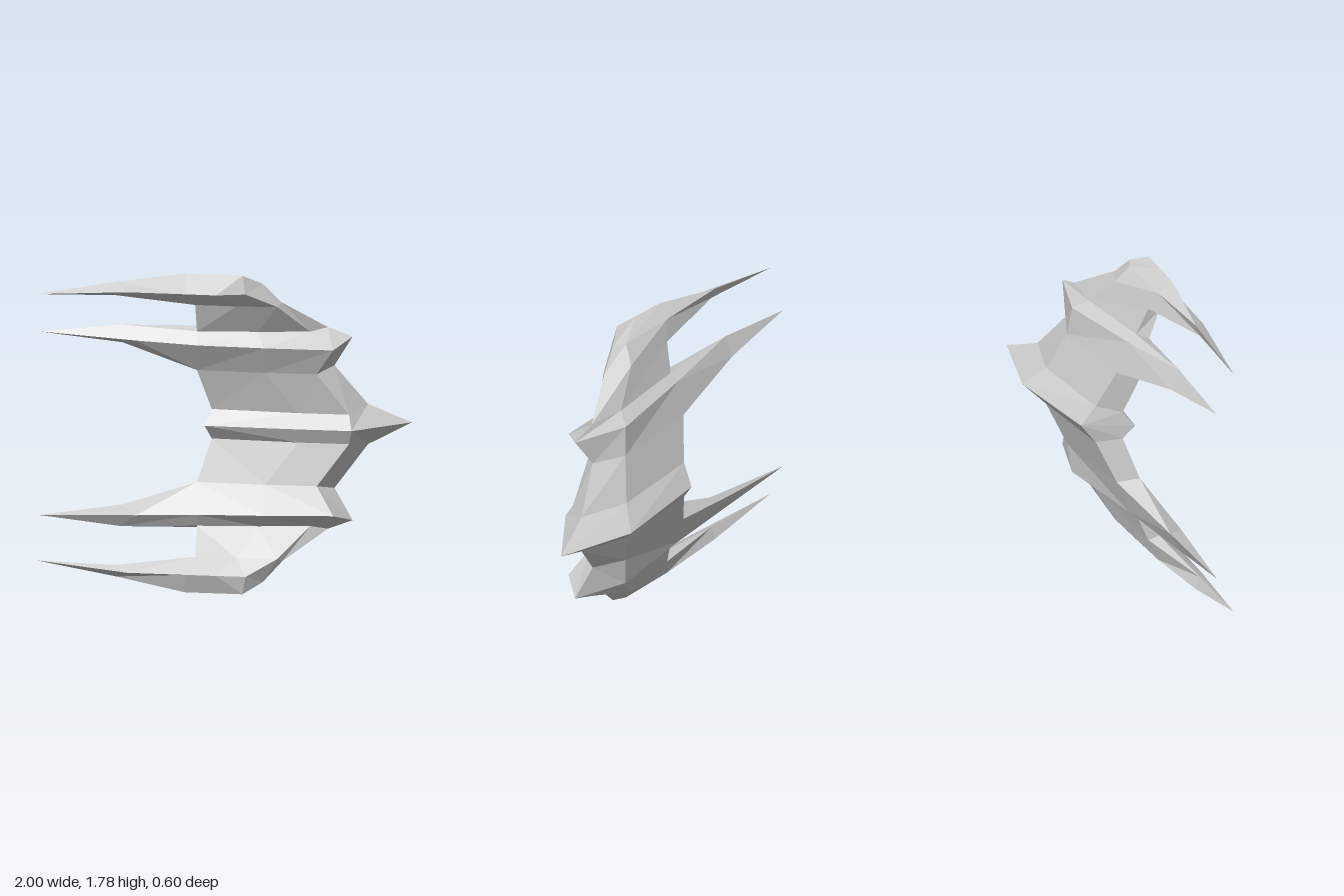
import * as THREE from 'three';

const HEIGHT = 1.776;
const MID = HEIGHT / 2;

// Sections of the upper half, from the middle outwards. Each ring runs:
// trailing front, mid front, leading front, leading edge, back ridge, trailing back.
const SECTIONS = [
  [[-0.10, MID, 0.07], [0.41, MID, 0.075], [0.71, MID, 0.07], [1.00, MID, -0.20], [0.57, MID, -0.30], [0.02, MID, -0.20]],
  [[-0.07, 0.97, 0.01], [0.41, 0.97, 0.035], [0.69, 0.97, 0.03], [0.77, 1.00, -0.12], [0.50, 1.00, -0.19], [0.00, 1.00, -0.12]],
  [[-0.14, 1.20, 0.08], [0.24, 1.20, 0.09], [0.52, 1.20, 0.08], [0.60, 1.23, -0.03], [0.42, 1.23, -0.10], [-0.08, 1.23, -0.03]],
  [[-0.12, 1.36, 0.18], [0.24, 1.355, 0.17], [0.62, 1.35, 0.14], [0.705, 1.40, 0.00], [0.40, 1.40, -0.08], [-0.10, 1.415, 0.03]],
  [[-0.13, 1.43, 0.14], [0.20, 1.43, 0.10], [0.48, 1.43, 0.05], [0.57, 1.45, 0.01], [0.36, 1.45, 0.00], [-0.09, 1.45, 0.08]],
  [[-0.13, 1.59, 0.20], [0.10, 1.59, 0.20], [0.32, 1.59, 0.18], [0.34, 1.61, 0.15], [0.20, 1.63, 0.085], [-0.12, 1.61, 0.14]],
  [[-0.17, 1.67, 0.30], [0.00, 1.67, 0.30], [0.16, 1.675, 0.275], [0.24, 1.72, 0.19], [0.17, 1.72, 0.16], [-0.16, 1.72, 0.18]],
  [[-0.18, HEIGHT, 0.26], [0.00, HEIGHT, 0.26], [0.14, HEIGHT, 0.26], [0.14, HEIGHT, 0.26], [0.00, HEIGHT, 0.26], [-0.18, HEIGHT, 0.26]],
];

// Each claw grows from three neighbouring sections to a triangular knuckle, then the tip.
const CLAWS = [
  { name: 'innerClaw', first: 2, low: [-0.55, 1.34, 0.08], ridge: [-0.46, 1.375, 0.18], top: [-0.55, 1.45, 0.13], tip: [-1, 1.40, 0.15] },
  { name: 'outerClaw', first: 5, low: [-0.56, 1.64, 0.25], ridge: [-0.49, 1.67, 0.30], top: [-0.56, 1.71, 0.225], tip: [-1, 1.63, 0.25] },
];

const material = new THREE.MeshStandardMaterial({ color: 0xcccccc, flatShading: true });

// Collects flat triangles, optionally mirrored top to bottom.
function makeBuilder(mirrored) {
  const positions = [];
  const same = (p, q) => p.every((v, i) => v === q[i]);
  const tri = (a, b, c) => {
    if (same(a, b) || same(b, c) || same(a, c)) return;
    const corners = mirrored ? [a, c, b] : [a, b, c];
    for (const [x, y, z] of corners) positions.push(x, mirrored ? HEIGHT - y : y, z);
  };
  const quad = (a, b, c, d) => { tri(a, b, c); tri(a, c, d); };
  const mesh = (name) => {
    const geometry = new THREE.BufferGeometry();
    geometry.setAttribute('position', new THREE.Float32BufferAttribute(positions, 3));
    geometry.computeVertexNormals();
    const m = new THREE.Mesh(geometry, material);
    m.name = name;
    return m;
  };
  return { tri, quad, mesh };
}

// Ridged plate; the trailing wall is left out where a claw continues it.
function makePlate(mirrored) {
  const b = makeBuilder(mirrored);
  for (let i = 0; i < SECTIONS.length - 1; i++) {
    const s = SECTIONS[i], t = SECTIONS[i + 1];
    const hasClaw = CLAWS.some((c) => i === c.first || i === c.first + 1);
    for (let j = 0; j < (hasClaw ? 5 : 6); j++) {
      const k = (j + 1) % 6;
      b.quad(s[j], s[k], t[k], t[j]);
    }
  }
  return b.mesh('plate');
}

function makeClaw({ name, first, low, ridge, top, tip }, mirrored) {
  const b = makeBuilder(mirrored);
  const [s, t, u] = SECTIONS.slice(first, first + 3);
  const base = [s[0], t[0], u[0], u[5], t[5], s[5]];
  const knuckle = [low, ridge, top, top, top, low];
  for (let i = 0; i < 6; i++) {
    const k = (i + 1) % 6;
    b.quad(base[i], base[k], knuckle[k], knuckle[i]);
    b.tri(knuckle[i], knuckle[k], tip);
  }
  return b.mesh(name);
}

export function createModel() {
  const model = new THREE.Group();
  model.name = 'clawedWing';
  for (const mirrored of [false, true]) {
    const half = new THREE.Group();
    half.name = mirrored ? 'lowerHalf' : 'upperHalf';
    half.add(makePlate(mirrored));
    for (const claw of CLAWS) half.add(makeClaw(claw, mirrored));
    model.add(half);
  }
  return model;
}
